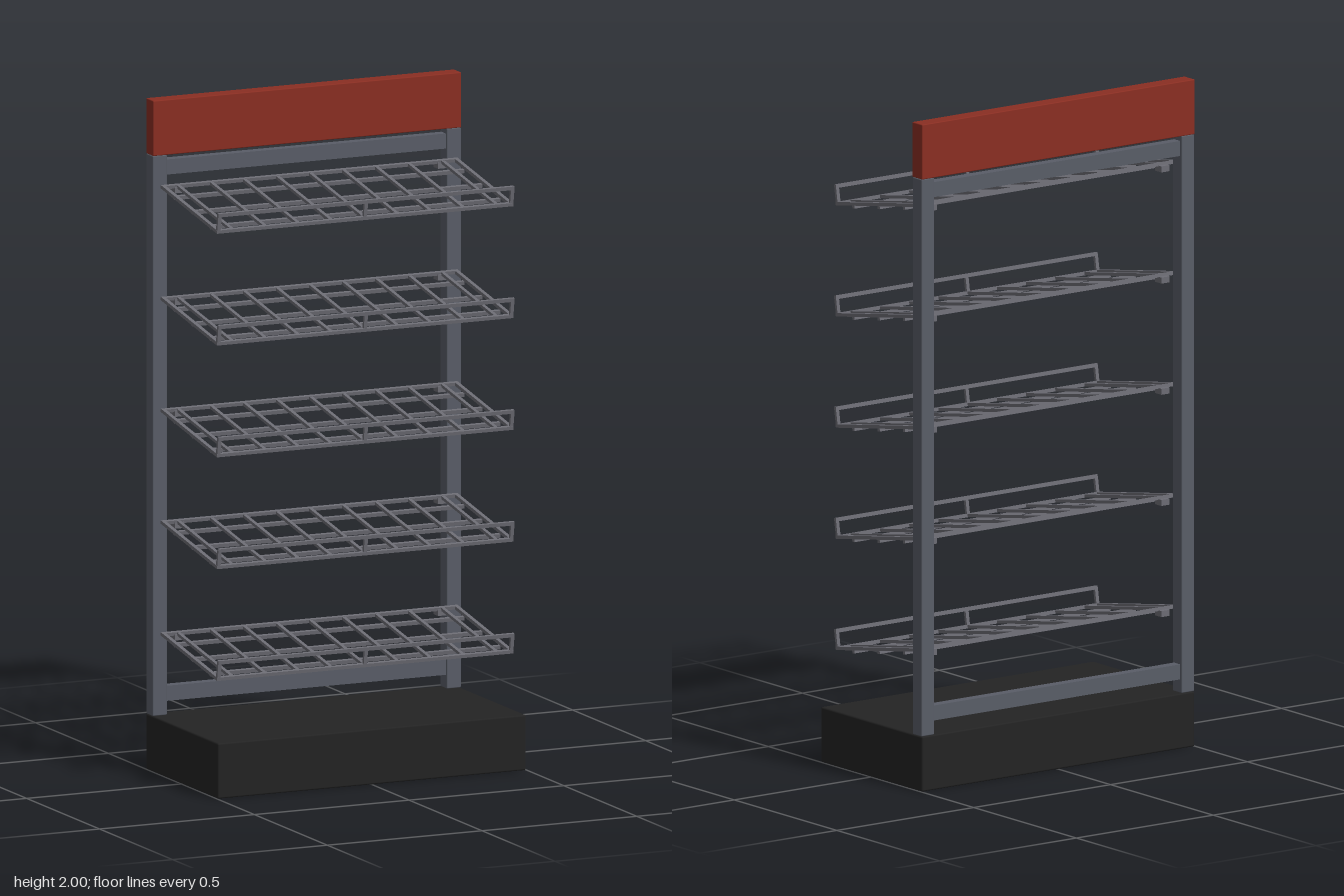
import * as THREE from 'three';
import { RoundedBoxGeometry } from 'three/addons/geometries/RoundedBoxGeometry.js';

const mat = (name, color) => Object.assign(new THREE.MeshStandardMaterial({ color }), { name });

export function createModel() {
  const red = mat('red header', 0x8a2e22);
  const black = mat('black base', 0x232323);
  const steel = mat('steel frame', 0x595d67);
  const wire = mat('grey wire', 0x6c6c74);

  const root = new THREE.Group();
  root.name = 'displayRack';

  const box = (parent, name, material, size, pos, radius = 0) => {
    const geometry = radius
      ? new RoundedBoxGeometry(...size, 2, radius)
      : new THREE.BoxGeometry(...size);
    const mesh = new THREE.Mesh(geometry, material);
    mesh.name = name;
    mesh.position.set(...pos);
    parent.add(mesh);
    return mesh;
  };

  // Plinth and header board
  box(root, 'base', black, [0.996, 0.165, 0.494], [0, 0.0825, 0], 0.005);
  box(root, 'header', red, [0.996, 0.165, 0.05], [0, 1.9175, -0.222], 0.003);

  // Upright posts and the two cross rails of the back frame
  for (const side of [-1, 1]) {
    box(root, side > 0 ? 'leftPost' : 'rightPost', steel, [0.046, 1.67, 0.045], [side * 0.475, 1, -0.222], 0.003);
  }
  for (const [name, y] of [['lowerRail', 0.228], ['upperRail', 1.797]]) {
    box(root, name, steel, [0.906, 0.045, 0.03], [0, y, -0.222]);
  }

  // One sloping wire shelf, drawn flat and then tilted forward
  const t = 0.012;
  const makeShelf = () => {
    const shelf = new THREE.Group();
    const tray = new THREE.Group();
    tray.name = 'wireTray';
    tray.rotation.x = 0.168;
    tray.position.z = 0.007;
    shelf.add(tray);

    // Outer frame
    for (const s of [-1, 1]) {
      box(tray, 'sideWire', wire, [t, 0.01, 0.392], [s * 0.473, 0, 0]);
      box(tray, s > 0 ? 'frontWire' : 'backWire', wire, [0.946, 0.01, t], [0, 0, s * 0.19]);
    }
    // Wires running front to back
    for (const x of [-0.427, -0.32, -0.2135, -0.107, 0, 0.107, 0.2135, 0.32, 0.427]) {
      box(tray, 'lengthWire', wire, [0.011, 0.009, 0.38], [x, 0, 0]);
    }
    // Support wires running below
    for (const z of [-0.125, 0, 0.125]) {
      box(tray, 'crossWire', wire, [0.936, 0.011, 0.011], [0, -0.01, z]);
    }
    // Raised front lip
    box(tray, 'lipRail', wire, [0.956, 0.011, 0.009], [0, 0.051, 0.191]);
    for (const x of [-0.473, 0, 0.473]) {
      box(tray, 'lipUpright', wire, [0.011, 0.052, 0.009], [x, 0.026, 0.191]);
    }
    // Hooks that hang the tray on the back frame
    for (const s of [-1, 1]) {
      box(shelf, 'hook', wire, [0.03, 0.018, 0.03], [s * 0.425, 0.021, -0.186]);
    }
    return shelf;
  };

  for (let i = 0; i < 5; i++) {
    const shelf = makeShelf();
    shelf.name = `shelf${i + 1}`;
    shelf.position.y = 0.379 + i * 0.3333;
    root.add(shelf);
  }
  return root;
}
